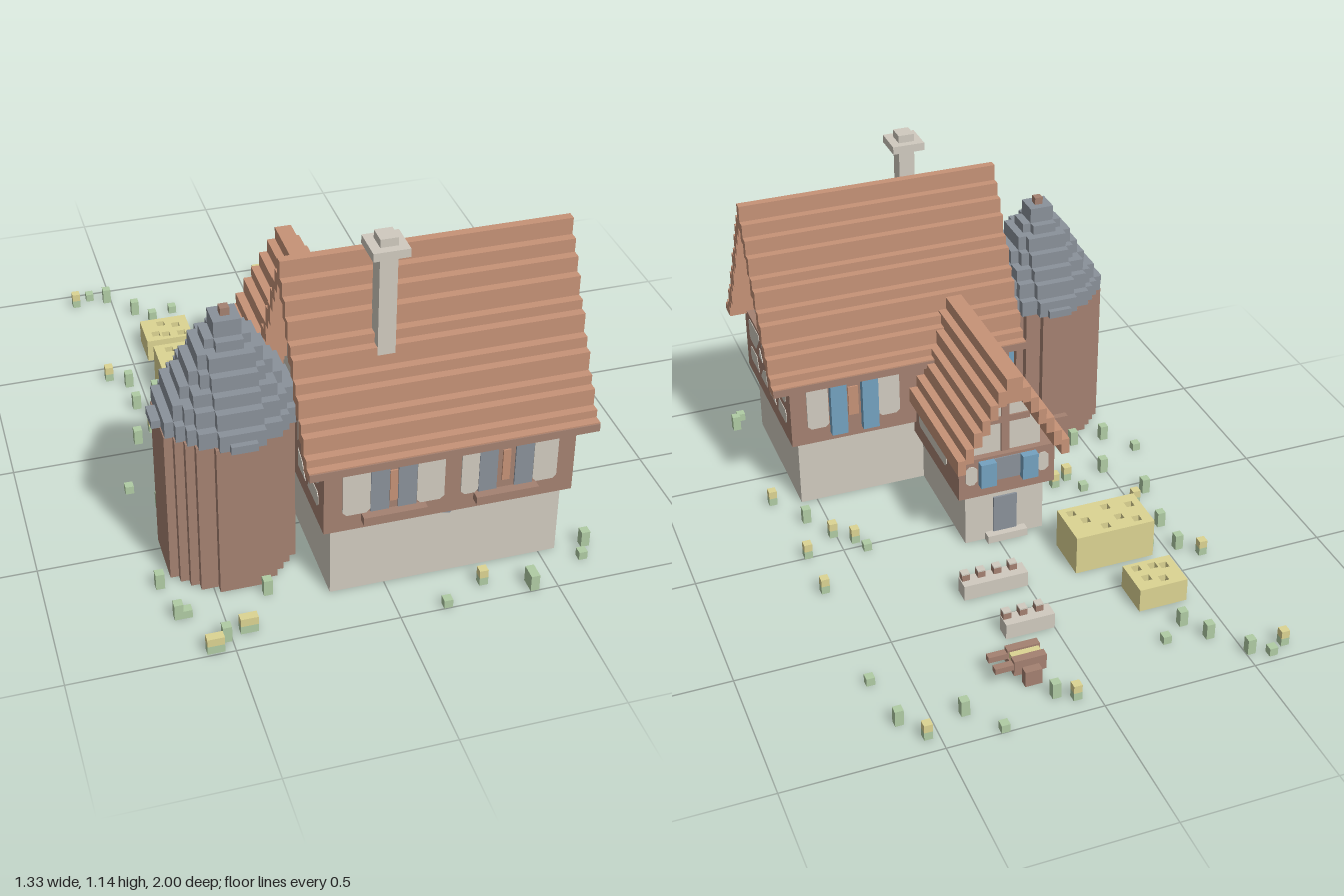
import * as THREE from 'three';

const paint = (name, hex) => {
  const m = new THREE.MeshStandardMaterial({ color: hex });
  m.name = name;
  return m;
};

export function createModel() {
  const M = {
    stone: paint('pale stone', 0xd0cabf), wood: paint('brown timber', 0xa48171),
    tile: paint('clay tile', 0xc69277), slate: paint('slate', 0x8a919a),
    blue: paint('blue shutter', 0x74a2c0), hay: paint('straw yellow', 0xdcd492),
    leaf: paint('leaf green', 0xb0cca4),
  };
  const model = new THREE.Group();
  model.name = 'cottage';

  const group = (name, parent = model) => {
    const g = new THREE.Group();
    g.name = name;
    parent.add(g);
    return g;
  };
  // Box from its limits on each axis
  const box = (parent, name, mat, x0, x1, y0, y1, z0, z1) => {
    const m = new THREE.Mesh(new THREE.BoxGeometry(x1 - x0, y1 - y0, z1 - z0), mat);
    m.position.set((x0 + x1) / 2, (y0 + y1) / 2, (z0 + z1) / 2);
    m.name = name;
    parent.add(m);
  };
  const shapeOf = pts => new THREE.Shape(pts.map(p => new THREE.Vector2(...p)));
  const extrude = (parent, name, mat, shape, depth) => {
    const m = new THREE.Mesh(new THREE.ExtrudeGeometry(shape, { depth, bevelEnabled: false }), mat);
    m.name = name;
    parent.add(m);
    return m;
  };
  const rect = (x0, x1, y0, y1) => [[x0, y0], [x1, y0], [x1, y1], [x0, y1]];
  const mirror = pts => pts.map(([x, y]) => [-x, y]).reverse();
  const hole = pts => new THREE.Path(pts.map(p => new THREE.Vector2(...p)).reverse());
  // Thin flat panel in the xy plane of its parent
  const plate = (parent, name, mat, pts) => extrude(parent, name, mat, shapeOf(pts), 0.007);
  // Plaster panel with clipped corners
  const plaster = (parent, x0, x1, y0, y1) => {
    const c = 0.012;
    plate(parent, 'plasterPanel', M.stone, [[x0 + c, y0], [x1 - c, y0], [x1, y0 + c], [x1, y1 - c],
      [x1 - c, y1], [x0 + c, y1], [x0, y1 - c], [x0, y0 + c]]);
  };
  // Four upright walls, open above and below
  const walls = (parent, name, mat, x0, x1, y0, y1, z0, z1, t) => {
    const s = shapeOf(rect(x0, x1, -z1, -z0));
    s.holes.push(hole(rect(x0 + t, x1 - t, t - z1, -z0 - t)));
    const m = extrude(parent, name, mat, s, y1 - y0);
    m.rotation.x = -Math.PI / 2;
    m.position.y = y0;
  };
  // Stepped gable roof with its ridge along x, and the attic wall that fills it
  const steppedRoof = (parent, { tops, start, x1, zc, ridge, step, thick, eave, gable }) => {
    const profile = [[0, tops[0] - 0.05]];
    box(parent, 'roofRidge', M.tile, start(0), x1, tops[0] - 0.09, tops[0], zc - ridge, zc + ridge);
    tops.slice(1).forEach((top, i) => {
      const a = ridge + i * step, b = a + step, low = Math.max(top - thick, eave);
      box(parent, 'roofStep', M.tile, start(i + 1), x1, low, top, zc + a, zc + b);
      box(parent, 'roofStep', M.tile, start(i + 1), x1, low, top, zc - b, zc - a);
      if (i < tops.length - 3) profile.push([(a + b) / 2, top - thick * 0.6]);
    });
    profile.push([profile.at(-1)[0], eave]);
    const m = extrude(parent, 'gable', M.stone, shapeOf([...profile, ...mirror(profile.slice(1))]), gable[1] - gable[0]);
    m.rotation.y = Math.PI / 2;
    m.position.set(gable[0], 0, zc);
  };
  // Frame whose z axis points out of a wall
  const wallFrame = (parent, name, x, z, turn) => {
    const g = group(name, parent);
    g.position.set(x, 0, z);
    g.rotation.y = turn;
    return g;
  };

  // Main house
  const house = group('mainHouse');
  walls(house, 'stoneBase', M.stone, -0.17, 0.555, 0, 0.253, 0.31, 0.835, 0.006);
  box(house, 'baseCeiling', M.stone, -0.166, 0.551, 0.2, 0.25, 0.314, 0.831);
  box(house, 'timberFloor', M.wood, -0.198, 0.58, 0.25, 0.485, 0.285, 0.86);
  steppedRoof(house, {
    tops: [1.03, 0.975, 0.93, 0.879, 0.814, 0.782, 0.718, 0.682, 0.618, 0.586, 0.53, 0.504],
    start: () => -0.25, x1: 0.64, zc: 0.572, ridge: 0.0137, step: 0.0274, thick: 0.068, eave: 0.475, gable: [-0.17, 0.555],
  });
  for (const s of [-1, 1]) {
    const z = 0.572 + s * 0.3;
    box(house, 'eaveBoard', M.wood, -0.25, 0.64, 0.474, 0.5, z - 0.017, z + 0.018);
  }
  // Framing and infill on both ends
  for (const s of [-1, 1]) {
    const side = wallFrame(house, 'endWallPanels', s > 0 ? 0.575 : -0.193, 0.572, s * Math.PI / 2);
    const halves = [
      [[0.15, 0.39], [0.222, 0.39], [0.234, 0.402], [0.234, 0.46], [0.222, 0.472], [0.1, 0.472], [0.095, 0.455]],
      [[0.125, 0.307], [0.222, 0.307], [0.234, 0.32], [0.234, 0.35], [0.222, 0.362], [0.145, 0.362]],
      [[0.02, 0.307], [0.1, 0.307], [0.065, 0.352], [0.02, 0.37]],
      [[0.02, 0.4], [0.08, 0.472], [0.02, 0.472]],
      [[0.06, 0.383], [0.115, 0.383], [0.095, 0.425]],
    ];
    const gable = wallFrame(house, 'gableTimbers', s > 0 ? 0.554 : -0.176, 0.572, s * Math.PI / 2);
    const knee = [[0.115, 0.73], [0.15, 0.69], [0.15, 0.73]];
    for (const flip of [p => p, mirror]) {
      for (const h of halves) plate(side, 'plasterPanel', M.stone, flip(h));
      plate(gable, 'gableKnee', M.wood, flip(knee));
    }
    plate(gable, 'gablePost', M.wood, rect(-0.014, 0.014, 0.48, 0.95));
    plate(gable, 'gableTie', M.wood, rect(-0.14, 0.14, 0.727, 0.75));
  }
  // Front and back windows
  const front = wallFrame(house, 'frontWindows', 0, 0.858, 0);
  for (const [x, gap, left, right] of [[0, 0.027, -0.142, 0.17], [0.334, 0.056, 0.222, 0.524]]) {
    plaster(front, left, x - 0.058, 0.308, 0.472);
    plaster(front, x + gap + 0.058, right, 0.308, 0.472);
    plate(front, 'windowShutter', M.slate, rect(x - 0.057, x, 0.308, 0.476));
    plate(front, 'windowShutter', M.slate, rect(x + gap, x + gap + 0.057, 0.308, 0.476));
    plate(front, 'windowPane', M.tile, rect(x + gap / 2 - 0.012, x + gap / 2 + 0.012, 0.335, 0.445));
    box(house, 'windowSill', M.wood, x + gap / 2 - 0.098, x + gap / 2 + 0.098, 0.28, 0.307, 0.855, 0.89);
  }
  const base = wallFrame(house, 'baseTrim', 0, 0.831, 0);
  plate(base, 'slatePatch', M.slate, [[0.14, 0.25], [0.175, 0.23], [0.2, 0.224], [0.23, 0.25]]);
  const back = wallFrame(house, 'backWindows', 0, 0.287, Math.PI);
  plaster(back, -0.524, -0.45, 0.308, 0.472);
  plaster(back, -0.275, -0.2, 0.308, 0.472);
  plate(back, 'windowPane', M.tile, rect(-0.38, -0.345, 0.335, 0.445));
  for (const x of [0.28, 0.39]) box(house, 'backShutter', M.blue, x, x + 0.056, 0.28, 0.475, 0.26, 0.287);
  box(house, 'sideShutter', M.blue, -0.224, -0.196, 0.28, 0.475, 0.3, 0.355);
  // Chimney
  box(house, 'chimneyStack', M.stone, 0, 0.054, 0.755, 1.14, 0.665, 0.724);
  box(house, 'chimneyCap', M.stone, -0.028, 0.082, 1.087, 1.114, 0.64, 0.75);

  // Back wing
  const wing = group('backWing');
  walls(wing, 'wingBase', M.stone, -0.165, 0.11, 0, 0.2, -0.11, 0.33, 0.006);
  box(wing, 'wingFloor', M.wood, -0.195, 0.14, 0.197, 0.345, -0.133, 0.31);
  const wingTop = group('wingRoof', wing);
  wingTop.rotation.y = Math.PI / 2;
  steppedRoof(wingTop, {
    tops: [0.668, 0.625, 0.58, 0.53, 0.49, 0.435, 0.395],
    start: i => -0.38 + i * 0.0165, x1: 0.195, zc: -0.028, ridge: 0.0275, step: 0.0275, thick: 0.056, eave: 0.34, gable: [-0.36, 0.11],
  });
  const wingBack = wallFrame(wing, 'wingGableTimbers', -0.028, -0.109, Math.PI);
  plate(wingBack, 'gablePost', M.wood, rect(-0.014, 0.014, 0.34, 0.6));
  plate(wingBack, 'gableTie', M.wood, rect(-0.085, 0.085, 0.455, 0.478));
  const wingWall = wallFrame(wing, 'wingBackPanels', -0.028, -0.13, Math.PI);
  plate(wingWall, 'windowPane', M.slate, rect(-0.045, 0.045, 0.25, 0.335));
  for (const s of [-1, 1]) {
    plaster(wingWall, s * 0.125 - 0.02, s * 0.125 + 0.02, 0.25, 0.32);
    box(wing, 'wingShutter', M.blue, s * 0.073 - 0.055, s * 0.073 - 0.001, 0.245, 0.335, -0.16, -0.133);
    const side = wallFrame(wing, 'wingSidePanels', s > 0 ? 0.136 : -0.191, 0.115, s * Math.PI / 2);
    plaster(side, s > 0 ? -0.135 : -0.03, s > 0 ? 0.135 : 0.1, 0.258, 0.308);
  }
  for (const z of [-0.06, 0.03]) box(wing, 'wingSideShutter', M.blue, -0.222, -0.193, 0.245, 0.34, z, z + 0.05);
  // Door and step
  box(wing, 'door', M.slate, -0.07, 0.012, 0.028, 0.165, -0.117, -0.109);
  box(wing, 'doorStep', M.stone, -0.1, 0.04, 0, 0.028, -0.14, -0.11);

  // Round tower made of stepped rings
  const tower = group('tower'), cx = -0.406, cz = 0.55, v = 0.0275;
  const circle = (n, cell) => {
    const reach = i => (Math.round(Math.sqrt(Math.max(0, (n + 0.4) ** 2 - i * i))) + 0.5) * cell;
    const pts = [];
    for (let i = -n; i <= n; i++) pts.push([reach(i), (i - 0.5) * cell], [reach(i), (i + 0.5) * cell]);
    return [...pts, ...mirror(pts)];
  };
  const disc = (name, mat, shape, x, y0, y1) => {
    const m = extrude(tower, name, mat, shape, y1 - y0);
    m.rotation.x = -Math.PI / 2;
    m.position.set(x, y0, cz);
  };
  const wall = shapeOf(circle(7, 0.0262));
  wall.holes.push(hole(circle(7, 0.025)));
  disc('towerWall', M.wood, wall, -0.419, 0, 0.532);
  const rings = [[7, 0.53, 0.585], [6, 0.58, 0.64], [5, 0.635, 0.682], [4, 0.68, 0.73],
    [3, 0.725, 0.78], [2, 0.775, 0.812], [1, 0.81, 0.865]];
  for (const [n, y0, y1] of rings) disc('towerRoofRing', M.slate, shapeOf(circle(n, v)), cx, y0, y1);
  box(tower, 'towerTip', M.wood, cx - 0.014, cx + 0.014, 0.86, 0.89, cz - 0.014, cz + 0.014);
  box(tower, 'towerEaveX', M.slate, cx - 0.234, cx + 0.19, 0.53, 0.556, cz - 0.04, cz + 0.04);
  box(tower, 'towerEaveZ', M.slate, cx - 0.04, cx + 0.04, 0.53, 0.556, cz - 0.225, cz + 0.225);
  box(tower, 'towerDoor', M.wood, cx - 0.04, cx + 0.04, 0, 0.11, cz - 0.22, cz - 0.19);

  // Straw beds, hollow below, with small square pits
  const garden = group('garden');
  const bed = (x0, x1, z0, z1, h, pits) => {
    walls(garden, 'strawBed', M.hay, x0, x1, 0, h - 0.027, z0, z1, 0.006);
    box(garden, 'strawBedFloor', M.hay, x0, x1, h - 0.036, h - 0.027, z0, z1);
    const s = shapeOf(rect(x0, x1, -z1, -z0));
    for (const [px, pz] of pits) s.holes.push(hole(rect(px, px + v, -pz - v, -pz)));
    const m = extrude(garden, 'strawBedTop', M.hay, s, 0.027);
    m.rotation.x = -Math.PI / 2;
    m.position.y = h - 0.027;
  };
  bed(-0.445, -0.17, -0.39, -0.225, 0.14, [[-0.41, -0.37], [-0.36, -0.34], [-0.3, -0.37], [-0.25, -0.32], [-0.42, -0.29], [-0.34, -0.275], [-0.22, -0.27]]);
  bed(-0.445, -0.28, -0.64, -0.505, 0.083, [[-0.39, -0.62], [-0.34, -0.6], [-0.42, -0.56], [-0.385, -0.55], [-0.33, -0.545]]);
  // Stone planters with capped posts
  for (const [x1, z, n] of [[0.163, -0.615, 3], [0.218, -0.392, 4]]) {
    box(garden, 'planter', M.stone, 0, x1, 0, 0.055, z, z + 0.055);
    for (let i = 0; i < n; i++) {
      const x = 0.027 + i * 0.054;
      box(garden, 'planterPost', M.wood, x, x + 0.026, 0.055, 0.077, z + 0.028, z + 0.054);
      box(garden, 'planterPostCap', M.stone, x, x + 0.026, 0.077, 0.082, z + 0.028, z + 0.054);
    }
  }
  // Hand cart
  const cart = group('cart');
  box(cart, 'cartTray', M.wood, 0.11, 0.215, 0.028, 0.055, -0.812, -0.73);
  box(cart, 'cartLoad', M.hay, 0.115, 0.21, 0.05, 0.075, -0.785, -0.757);
  for (const z of [-0.812, -0.757]) {
    box(cart, 'cartSide', M.wood, 0.11, 0.215, 0.05, 0.082, z, z + 0.027);
    box(cart, 'cartHandle', M.wood, 0.21, 0.275, 0.05, 0.07, z + 0.002, z + 0.025);
  }
  for (const z of [-0.84, -0.73]) box(cart, 'cartWheel', M.wood, 0.135, 0.19, 0, 0.055, z, z + 0.028);

  // Grass tufts and yellow flowers, as x, z pairs
  const tufts = [-.575, -.965, -.515, -.935, -.43, -.825, -.295, -.8, -.38, -.74, .12, -.905, .315, -.987, .4, -.88, .595, -.85,
    .62, -.655, -.54, -.38, -.54, -.245, -.455, -.335, -.575, -.05, -.49, .115, -.38, .035, -.235, -.16, -.235, -.133, -.655, .2,
    -.575, .305, -.46, .31, .425, -.02, .57, .2, .65, .84, .62, .895, .425, .96, .425, .985, .15, .985, -.515, .945,
    -.63, .815, -.603, .815, -.655, .67, -.35, .785];
  const flowers = [-.63, -.935, .065, -.935, .535, -.935, -.6, -.435, -.515, -.1, -.35, .115, -.295, .09, -.295, .2, .62, -.185,
    .62, .01, .45, .035, .51, .09, .65, .34, .285, .92, -.457, .925, -.43, .925, -.57, .98, -.545, .98];
  const h = 0.0137;
  const plant = (x, z, name, mat, y0, y1) => box(garden, name, mat, x - h, x + h, y0, y1, z - h, z + h);
  for (let i = 0; i < tufts.length; i += 2) plant(tufts[i], tufts[i + 1], 'grassTuft', M.leaf, 0, i % 6 ? 0.055 : 0.028);
  for (let i = 0; i < flowers.length; i += 2) {
    plant(flowers[i], flowers[i + 1], 'flowerStem', M.leaf, 0, 0.028);
    plant(flowers[i], flowers[i + 1], 'flowerHead', M.hay, 0.028, 0.055);
  }
  return model;
}
